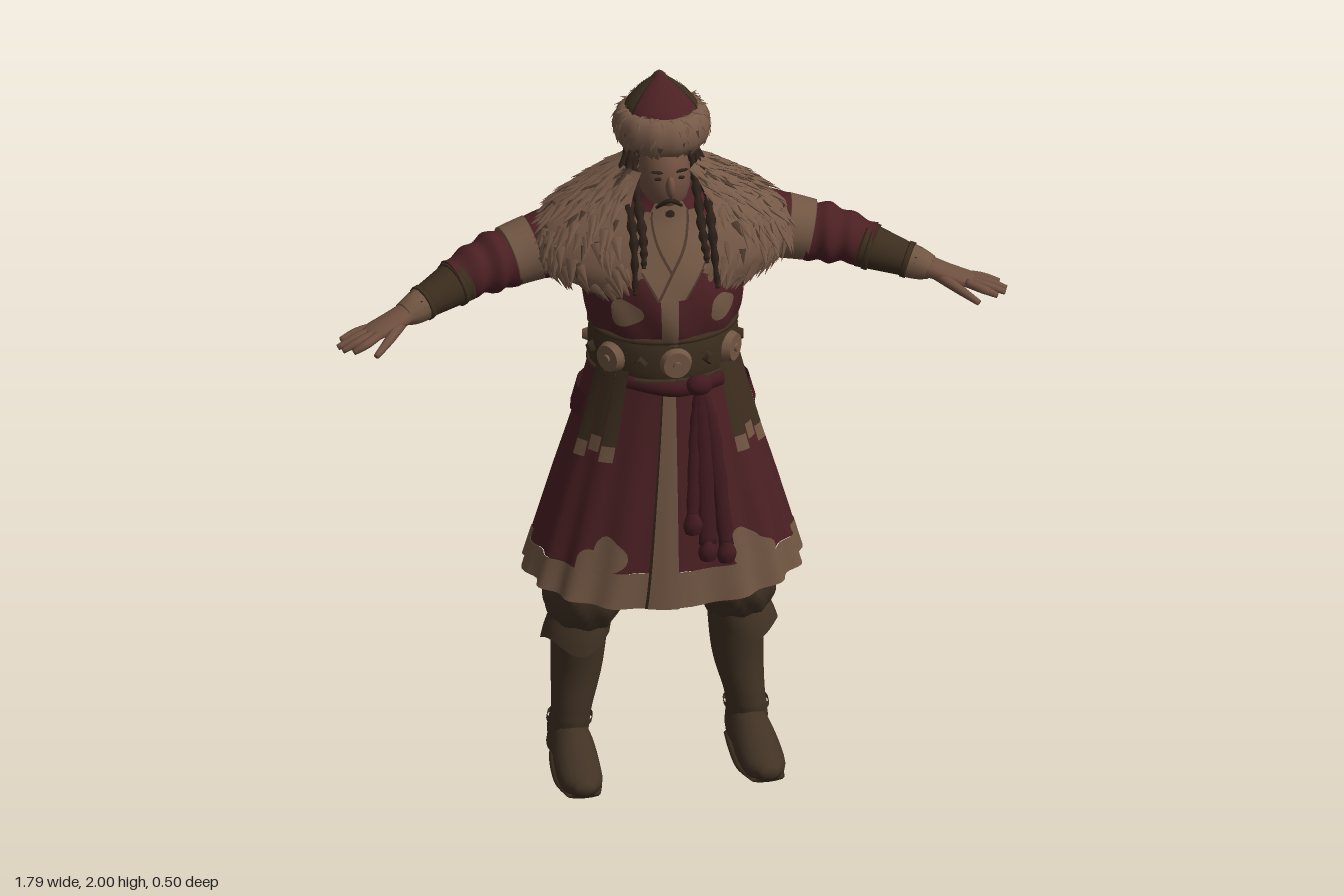
import * as THREE from 'three';
import { mergeGeometries } from 'three/addons/utils/BufferGeometryUtils.js';

const mat = (name, color) => Object.assign(new THREE.MeshStandardMaterial({ color, side: THREE.DoubleSide }), { name });
const TAU = Math.PI * 2;
let seed = 7;
const rnd = () => (seed = (seed * 16807) % 2147483647) / 2147483647;

// Smooth interpolation through rows of numbers, t in 0..1
function sample(rows, t) {
  const n = rows.length - 1, f = Math.min(Math.max(t, 0), 1) * n, i = Math.min(Math.floor(f), n - 1), k = f - i;
  const [a, b, c, d] = [rows[Math.max(i - 1, 0)], rows[i], rows[i + 1], rows[Math.min(i + 2, n)]];
  return b.map((q, m) => q + 0.5 * k * (c[m] - a[m] + k * (2 * a[m] - 5 * q + 4 * c[m] - d[m] + k * (3 * (q - c[m]) + d[m] - a[m]))));
}

// Grid surface from fn(u, v); closed wraps u
function grid(fn, nu, nv, closed = false) {
  const pos = [], idx = [], w = closed ? nu : nu + 1;
  for (let j = 0; j <= nv; j++) for (let i = 0; i < w; i++) pos.push(...fn(i / nu, j / nv, j));
  for (let j = 0; j < nv; j++) for (let i = 0; i < nu; i++) {
    const a = j * w + i, b = j * w + (i + 1) % w;
    idx.push(a, b, b + w, a, b + w, a + w);
  }
  const g = new THREE.BufferGeometry();
  g.setAttribute('position', new THREE.Float32BufferAttribute(pos, 3));
  g.setIndex(idx);
  g.computeVertexNormals();
  return g;
}

// Upright surface from rows [y, rx, rz, cx, cz], bottom to top; u = 0 is the front
function body(rows, { pow = () => 1, wave = () => 0, drop = () => 0 } = {}) {
  return (u, v, off = 0) => {
    const [y, rx, rz, cx, cz] = sample(rows, v), a = u * TAU, s = Math.sin(a), c = Math.cos(a), p = pow(v);
    const k = 1 + wave(a, v), bend = (q) => Math.sign(q) * Math.abs(q) ** p;
    return [cx + (Math.max(rx, 0) + off) * k * bend(s), y + drop(a, v), cz + (Math.max(rz, 0) + off) * k * bend(c)];
  };
}
const part = (f, u0, u1, v0, v1, off, nu = 8, nv = 8) =>
  grid((u, v) => f(u0 + (u1 - u0) * u, v0 + (v1 - v0) * v, off), nu, nv);
const blob = (f, u0, v0, du, dv) => grid((u, v) => {
  const a = -u * TAU, r = v * (1 + 0.12 * Math.cos(3 * a));
  return f(u0 + du * r * Math.cos(a), v0 + dv * r * Math.sin(a), 0.007);
}, 24, 5, true);

// Capped limb along rows [x, y, z, radius, height ratio]
function limb(rows, { ripple = 0, waves = 6, n = 12, nv = 20 } = {}) {
  const P = (t) => new THREE.Vector3(...sample(rows, t));
  const ends = P(1).sub(P(0)).normalize();
  const ref = Math.abs(ends.y) > 0.8 ? new THREE.Vector3(0, 0, 1) : new THREE.Vector3(0, 1, 0);
  return grid((u, v, j) => {
    const t = Math.min(Math.max((j - 1) / (nv - 2), 0), 1), [x, y, z, r, h] = sample(rows, t);
    const T = P(t + 0.01).sub(P(t - 0.01)).normalize(), N = ref.clone().cross(T).normalize(), B = T.clone().cross(N);
    const a = u * TAU, R = j === 0 || j === nv ? 0 : r * (1 + ripple * Math.sin(t * waves * TAU + Math.sin(a) * 1.5));
    const p = new THREE.Vector3(x, y, z).addScaledVector(N, R * Math.cos(a)).addScaledVector(B, R * h * Math.sin(a));
    return [p.x, Math.max(p.y, 0), p.z];
  }, n, nv, true);
}

// Flat pointed fur tufts lying down a surface
function tufts(f, count, len, lift, vMax = 1) {
  const out = [], V = (u, v) => new THREE.Vector3(...f(u, v));
  for (let i = 0; i < count; i++) {
    const u = 0.01 + rnd() * 0.97, v = 0.03 + rnd() * (vMax - 0.03), p = V(u, v);
    const down = V(u, v - 0.02).sub(V(u, v + 0.02)).normalize();
    const across = V(u + 0.01, v).sub(p).normalize(), nrm = down.clone().cross(across).normalize();
    const dir = down.addScaledVector(nrm, lift).addScaledVector(across, (rnd() - 0.5) * 0.5).normalize();
    const out3 = dir.clone().cross(across).normalize(), x = dir.clone().cross(out3);
    const L = len * (0.7 + rnd() * 0.6), g = new THREE.ConeGeometry(L * 0.28, L, 6, 1, true);
    g.scale(1, 1, 0.35).translate(0, L * 0.35, 0);
    g.applyMatrix4(new THREE.Matrix4().makeBasis(x, dir, out3));
    out.push(g.translate(p.x, p.y, p.z));
  }
  return mergeGeometries(out);
}

export function createModel() {
  const root = new THREE.Group();
  const red = mat('dark red cloth', 0x4b2023), fur = mat('fur', 0x775a48), shade = mat('fur shade', 0x4c382c);
  const tan = mat('tan trim', 0x715643), brown = mat('brown leather', 0x3c2e1e), boot = mat('boot leather', 0x413224);
  const skin = mat('skin', 0x6f5040), hair = mat('hair', 0x2c2018), sashRed = mat('sash red', 0x411a1f);
  const add = (name, geo, m, pos = [0, 0, 0]) => {
    const mesh = new THREE.Mesh(geo, m);
    mesh.name = name;
    mesh.position.set(...pos);
    root.add(mesh);
    return mesh;
  };
  const ball = (rx, ry, rz) => new THREE.SphereGeometry(1, 20, 14).scale(rx, ry, rz);

  // Robe torso with crossed lapels
  const torso = body([[1.28, .185, .16, 0, 0], [1.34, .203, .178, 0, 0], [1.41, .213, .183, 0, 0], [1.48, .228, .178, 0, -.01],
    [1.55, .235, .16, 0, -.025], [1.62, .165, .12, 0, -.025], [1.67, .09, .09, 0, -.01], [1.73, .06, .06, 0, 0]],
  { wave: (a, v) => 0.025 * (1 - v) * Math.sin(9 * a + v * 12) });
  add('torso', grid((u, v) => torso(u, v), 64, 30, true), red);
  add('neck', new THREE.CylinderGeometry(.062, .07, .14, 20), skin, [0, 1.65, 0]);
  add('undershirt', part(torso, -.065, .065, .48, .86, .004), tan);
  add('frontPlacket', part(torso, -.03, .004, .05, .45, .006), tan);
  for (const s of [-1, 1]) {
    const lapel = (u, v, w, off) => torso(s * (v * .085 + (u - .5) * w) - .008 * (1 - v), .34 + v * .46, off + s * .002);
    add('lapelEdge', grid((u, v) => lapel(u, v, .056, .008), 5, 12), shade);
    add('lapel', grid((u, v) => lapel(u, v, .046, .011), 5, 12), tan);
    add('chestPatch', blob(torso, s * .102, .255, .034, .075), tan);
  }

  // Pleated skirt, hem and front strip
  const skirt = body([[.6, .362, .218, 0, -.01], [.68, .342, .212, 0, -.01], [.86, .292, .195, 0, -.005], [1.05, .235, .175, 0, 0], [1.23, .188, .162, 0, 0]], {
    pow: (v) => .78 + .22 * v,
    wave: (a, v) => .03 * (1 - v) * Math.cos(16 * a),
    drop: (a, v) => -.045 * Math.cos(a) ** 2 * Math.max(1 - v, 0) ** 2,
  });
  add('skirt', part(skirt, 0, 1, .25, 1, 0, 128, 20), red);
  add('hem', part(skirt, 0, 1, 0, .25, .002, 128, 4), tan);
  add('skirtStrip', part(skirt, -.024, 0, 0, .98, .007, 8, 24), tan);
  add('skirtSlit', part(skirt, -.027, -.024, 0, .9, .006, 2, 24), hair);
  for (const s of [-1, 1]) {
    add('skirtPatch', blob(skirt, s * .082, .31, .026, .075), tan);
    add('skirtPatch', blob(skirt, s * .105, .28, .024, .055), tan);
    add('hipWrap', part(skirt, s * .2, s * .4, .76, .84, .012, 20, 3), sashRed);
  }

  // Belt with rims, medallions and studs
  const belt = body([[1.19, .19, .168, 0, 0], [1.22, .197, .176, 0, 0], [1.28, .197, .176, 0, 0], [1.315, .188, .168, 0, 0]]);
  add('belt', grid((u, v) => belt(u, v), 48, 8, true), brown);
  for (const v of [.08, .92]) add('beltRim', limb(Array.from({ length: 25 }, (_, i) => [...belt(i / 24, v, .002), .009, 1]), { n: 6, nv: 60 }), brown);
  const onBelt = (name, geo, u, m) => { add(name, geo.rotateX(Math.PI / 2), m, belt(u, .5, .004)).rotation.y = u * TAU; };
  for (const u of [0, -.15, .15, .5]) {
    onBelt('medallion', new THREE.CylinderGeometry(.036, .044, .022, 20), u, tan);
    onBelt('medallionBoss', new THREE.CylinderGeometry(.01, .018, .034, 12), u, tan);
  }
  for (const u of [.075, .22, .29, .36, .43]) for (const s of [-1, 1])
    onBelt('stud', new THREE.CylinderGeometry(.014, .022, .02, 4), u * s, u === .29 ? tan : brown);

  // Hanging straps with pale tips at both hips and the back
  for (const [u0, n, v1] of [[.1, 3, .7], [-.187, 3, .7], [.425, 5, .66]]) for (let i = 0; i < n; i++) {
    const u = u0 + i * .03, low = v1 + (i % 2) * .03;
    add('strap', part(skirt, u, u + .028, low, .98, .016, 4, 8), brown);
    add('strapTip', part(skirt, u + .001, u + .027, low - .055, low, .016, 4, 2), tan);
  }

  // Knotted sash with tails
  add('sashKnot', ball(.035, .03, .025), sashRed, [.06, 1.185, .185]);
  add('sashWrap', limb([[-.13, 1.19, .125, .016, 1.3], [0, 1.175, .175, .018, 1.3], [.13, 1.18, .14, .016, 1.3]]), sashRed);
  for (const [x, y, w] of [[.035, .82, .017], [.075, .74, .024], [.125, .73, .02]]) {
    add('sashTail', limb([[.06, 1.18, .19, .014, .7], [(x + .06) / 2, 1.05, .2, w, .6], [x, y, .222, w, .6]], { ripple: .08 }), sashRed);
    add('sashTassel', limb([[x, y + .01, .222, .014, 1], [x, y - .02, .226, .026, .8], [x, y - .045, .226, .02, .8]]), sashRed);
  }

  // Arms, hands and fingers
  for (const s of [-1, 1]) {
    const L = (name, rows, m, o) => add(name, limb(rows.map(([x, ...q]) => [x * s, ...q]), o), m);
    L('upperSleeve', [[.12, 1.5, -.04, .1, 1], [.22, 1.525, -.055, .102, 1], [.3, 1.515, -.06, .093, 1], [.37, 1.5, -.055, .078, 1]], red, { n: 20 });
    L('sleeveBand', [[.335, 1.508, -.06, .088, 1], [.37, 1.5, -.056, .085, 1], [.405, 1.492, -.05, .082, 1]], tan, { n: 20 });
    L('foreSleeve', [[.38, 1.495, -.055, .076, 1], [.44, 1.485, -.042, .079, 1], [.5, 1.472, -.025, .068, 1], [.56, 1.455, -.005, .058, 1]], red, { n: 20, nv: 36, ripple: .06, waves: 3 });
    L('bracer', [[.535, 1.457, -.012, .063, 1], [.59, 1.44, .012, .054, 1], [.64, 1.425, .034, .046, 1], [.67, 1.417, .05, .042, 1]], brown, { n: 16 });
    L('cuff', [[.65, 1.422, .04, .046, 1], [.68, 1.414, .055, .041, 1], [.705, 1.408, .066, .036, .85]], tan);
    for (const [x, y, z, r] of [[.55, 1.452, -.006, .063], [.64, 1.425, .034, .049]])
      L('bracerStrap', [[x, y, z, r, 1], [x + .014, y - .004, z + .006, r, 1]], brown, { nv: 5 });
    L('palm', [[.67, 1.417, .05, .034, .9], [.73, 1.402, .08, .038, .6], [.79, 1.386, .105, .04, .42], [.81, 1.38, .112, .034, .4]], skin);
    const tips = [[.88, 1.366, .098], [.893, 1.358, .125], [.885, 1.358, .148], [.86, 1.36, .168]];
    tips.forEach(([x, y, z], i) => L('finger', [[.785, 1.387, .078 + i * .018, .012, 1], [(x + .79) / 2, 1.378, z - .014 + i * .003, .012, 1], [x, y, z, .008, 1]], skin, { n: 8, nv: 10 }));
    L('thumb', [[.71, 1.4, .085, .016, 1], [.76, 1.38, .15, .013, 1], [.805, 1.358, .198, .008, 1]], skin, { n: 8, nv: 10 });
  }

  // Trousers and boots
  for (const s of [-1, 1]) {
    const rows = (list) => list.map(([y, rx, rz, cx, cz]) => [y, rx, rz, cx * s, cz]);
    const leg = body(rows([[.4, .07, .075, .205, -.055], [.45, .092, .108, .205, -.045], [.51, .109, .128, .2, -.037], [.6, .104, .12, .19, -.03], [.8, .1, .11, .14, -.02], [1.05, .09, .1, .1, 0]]),
      { wave: (a, v) => .035 * Math.sin(9 * a + v * 14) });
    add('trouserLeg', grid((u, v) => leg(u, v), 40, 24, true), boot);
    const shaft = body(rows([[.04, .052, .06, .242, -.075], [.11, .054, .064, .238, -.07], [.17, .054, .062, .23, -.064], [.28, .068, .076, .215, -.077], [.44, .076, .086, .207, -.065]]),
      { wave: (a, v) => .05 * Math.sin(v * 38 + Math.sin(a)) * Math.max(0, .55 - v) });
    add('bootShaft', grid((u, v) => shaft(u, v), 28, 28, true), boot);
    const cuff = body(rows([[.375, .09, .108, .225, -.05], [.41, .087, .104, .218, -.05], [.452, .08, .094, .207, -.05]]),
      { drop: (a, v) => -.018 * (1 - v) * Math.cos(3 * a) });
    add('bootCuff', grid((u, v) => cuff(u, v), 40, 6, true), boot);
    add('bootFoot', limb([[.232, .055, -.135, .04, 1.4], [.236, .06, -.08, .054, 1.2], [.238, .065, -.01, .056, 1.15], [.242, .045, .07, .06, .9], [.245, .035, .145, .054, .75], [.247, .042, .2, .022, .7]]
      .map(([x, ...q]) => [x * s, ...q]), { n: 20 }), boot);
    add('bootSole', limb([[.232, .008, -.138, .042, .25], [.238, .008, -.04, .056, .2], [.242, .008, .08, .062, .18], [.246, .012, .17, .045, .2]]
      .map(([x, ...q]) => [x * s, ...q]), { n: 12 }), brown);
    add('ankleStrap', grid((u, v) => shaft(u, .3 + v * .08, .006), 28, 2, true), boot);
  }

  // Fur collar, open at the throat
  const mantle = body([[1.48, .325, .182, 0, -.035], [1.53, .352, .197, 0, -.038], [1.6, .32, .188, 0, -.042], [1.66, .25, .165, 0, -.045], [1.71, .17, .13, 0, -.038], [1.75, .105, .095, 0, -.025]],
    { drop: (a, v) => -.05 * Math.cos(a) ** 2 * (1 - v) });
  const collar = (u, v) => { const g = .015 + .095 * v; return mantle(g + u * (1 - 2 * g), v); };
  add('furCollar', grid(collar, 64, 16), fur);
  add('collarTufts', tufts(collar, 560, .06, .16), fur);
  add('collarShadeTufts', tufts(collar, 110, .045, .2), shade);

  // Head, face and hair
  add('head', ball(.07, .108, .088), skin, [0, 1.725, .014]);
  add('nose', ball(.013, .03, .018), skin, [0, 1.728, .104]);
  add('beard', ball(.032, .03, .026), hair, [0, 1.635, .068]);
  add('moustache', limb([[-.034, 1.662, .083, .004, 1], [0, 1.687, .1, .007, 1], [.034, 1.662, .083, .004, 1]], { n: 8 }), hair);
  const mane = body([[1.66, .085, .06, 0, -.06], [1.72, .093, .075, 0, -.05], [1.85, .088, .08, 0, -.035]], { wave: (a) => .05 * Math.cos(18 * a) });
  add('hairBack', part(mane, .21, .79, 0, 1, 0, 60, 8), hair);
  for (const s of [-1, 1]) {
    add('eye', ball(.011, .005, .005), hair, [s * .03, 1.748, .091]);
    add('brow', ball(.02, .004, .006), hair, [s * .031, 1.766, .088]).rotation.z = s * .15;
    add('ear', ball(.012, .028, .018), skin, [s * .071, 1.73, 0]);
    for (const [x, z, y] of [[.105, .18, 1.46], [.08, .17, 1.53]])
      add('braid', limb([[s * .075, 1.8, -.02, .01, 1], [s * x, 1.7, .045, .011, 1], [s * x, 1.6, .135, .011, 1], [s * (x + .005), y, z, .006, 1]], { ripple: .25, waves: 9, n: 8, nv: 56 }), hair);
    add('looseLock', limb([[s * .08, 1.8, -.03, .008, 1], [s * .11, 1.74, -.01, .008, 1], [s * .12, 1.68, .0, .004, 1]], { n: 6 }), hair);
  }

  // Pointed hat with fur brim
  const crown = body([[1.87, .108, .11, 0, -.016], [1.915, .095, .096, 0, -.02], [1.95, .062, .064, 0, -.03], [1.978, .024, .025, 0, -.042], [1.99, .014, .014, 0, -.045], [2, 0, 0, 0, -.045]]);
  add('hatFront', part(crown, -.17, .17, 0, 1, 0, 16, 20), red);
  add('hatBack', part(crown, .17, .83, 0, 1, 0, 32, 20), brown);
  for (const u of [.17, .33, .5, .67, .83]) add('hatSeam', part(crown, u - .006, u + .006, .1, .8, .003, 2, 14), hair);
  const brim = (u, v) => {
    const a = u * TAU, b = v * TAU - Math.PI / 2, r = .094 + .034 * Math.cos(b) + .002 * Math.sin(13 * a);
    return [r * Math.sin(a), 1.86 + .053 * Math.sin(b), -.013 + r * Math.cos(a)];
  };
  add('furBrim', grid(brim, 52, 16, true), fur);
  add('brimTufts', tufts(brim, 150, .026, .14, .55), fur);
  add('brimShadeTufts', tufts(brim, 20, .02, .16, .5), shade);
  return root;
}
